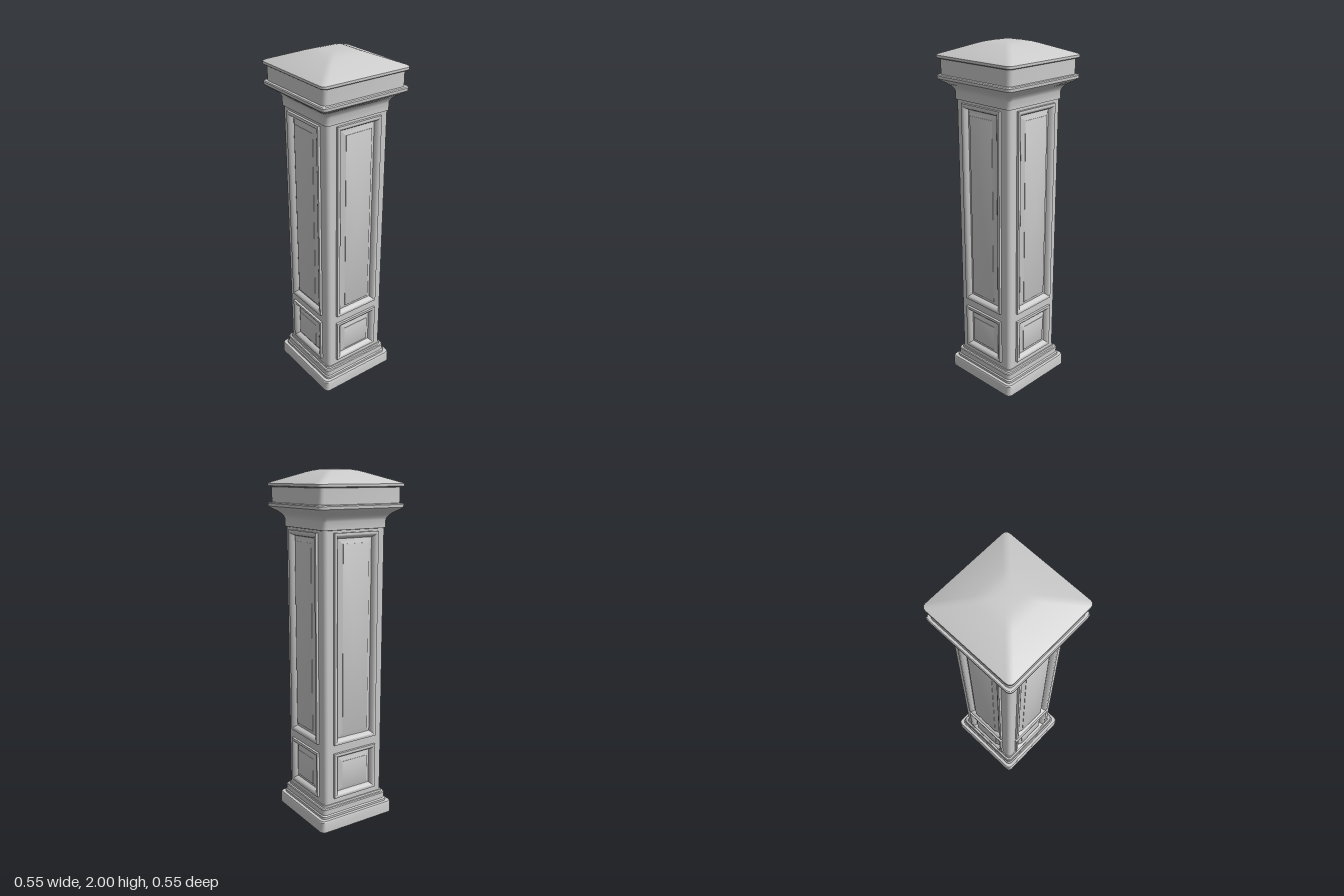
import * as THREE from 'three';
import { toCreasedNormals } from 'three/addons/utils/BufferGeometryUtils.js';

const material = new THREE.MeshStandardMaterial({ color: 0xcccccc, side: THREE.DoubleSide });
const HALF = 0.2, CORNER = 0.025, BOTTOM = 0.14, TOP = 1.69;

// Skin closed rings of points, each an array of [x, y, z]
function loft(rings, crease) {
  const n = rings[0].length, index = [];
  for (let i = 0; i < rings.length - 1; i++) {
    for (let j = 0; j < n; j++) {
      const a = i * n + j, b = i * n + (j + 1) % n;
      index.push(a, b, b + n, a, b + n, a + n);
    }
  }
  const g = new THREE.BufferGeometry();
  g.setAttribute('position', new THREE.Float32BufferAttribute(rings.flat(2), 3));
  g.setIndex(index);
  return toCreasedNormals(g, crease);
}

// Rounded square in plan
function squareRing(half, y, radius = CORNER) {
  const r = Math.min(radius, half), c = half - r, points = [];
  for (let q = 0; q < 4; q++) {
    const mid = Math.PI / 4 + q * Math.PI / 2;
    const cx = Math.sign(Math.cos(mid)) * c, cz = -Math.sign(Math.sin(mid)) * c;
    for (let s = 0; s <= 3; s++) {
      const a = (q + s / 3) * Math.PI / 2;
      points.push([cx + r * Math.cos(a), y, cz - r * Math.sin(a)]);
    }
  }
  return points;
}

function add(parent, geometry, name) {
  const mesh = new THREE.Mesh(geometry, material);
  mesh.name = name;
  parent.add(mesh);
  return mesh;
}

// Moulded panel: rectangles stepping inward as [inset, z]
function panelGeometry({ half, y0, y1 }) {
  const steps = [[0, HALF], [0, 0.214], [0.012, 0.215], [0.02, 0.21], [0.027, 0.2],
    [0.031, 0.19], [0.034, 0.19], [0.058, 0.205], [0.058, 0.207]];
  const rings = steps.map(([d, z]) => [
    [-half + d, y0 + d, z], [half - d, y0 + d, z], [half - d, y1 - d, z], [-half + d, y1 - d, z]]);
  const my = (y0 + y1) / 2;
  rings.push(rings[0].map(() => [0, my, 0.207]));
  return loft(rings, 0.6);
}

export function createModel() {
  const pillar = new THREE.Group();
  pillar.name = 'pillar';

  // Stepped plinth, open underneath
  const base = [[0.247, 0], [0.247, 0.062], [0.243, 0.069], [0.226, 0.07], [0.226, 0.083],
    [0.22, 0.09], [0.22, 0.122], [0.216, 0.127], [0.207, 0.128], [0.205, 0.139], [HALF, BOTTOM]];
  add(pillar, loft(base.map(([h, y]) => squareRing(h, y)), 0.6), 'base');

  // Coved capital and shallow pyramid roof
  const capital = [[HALF, TOP], [0.207, 1.692], [0.207, 1.735], [0.212, 1.748], [0.222, 1.762],
    [0.238, 1.775], [0.258, 1.787], [0.274, 1.801], [0.275, 1.816], [0.271, 1.821],
    [0.259, 1.823], [0.259, 1.905], [0.271, 1.907], [0.275, 1.911], [0.275, 1.924]];
  add(pillar, loft(capital.map(([h, y]) => squareRing(h, y)), 0.6), 'capital');
  const roof = [[0.275, 1.924], [0.268, 1.929], [0.12, 1.985], [0.095, 1.993], [0.07, 1.998],
    [0.045, 2], [0, 2]];
  add(pillar, loft(roof.map(([h, y]) => squareRing(h, y)), 0.6), 'roof');

  // Flat face of the shaft with openings for both panels
  const panels = [
    { name: 'lowerPanel', half: 0.142, y0: 0.175, y1: 0.447 },
    { name: 'upperPanel', half: 0.142, y0: 0.5, y1: 1.677 },
  ];
  const w = HALF - CORNER;
  const rectangle = (C, half, y0, y1) => new C([
    new THREE.Vector2(-half, y0), new THREE.Vector2(half, y0),
    new THREE.Vector2(half, y1), new THREE.Vector2(-half, y1)]);
  const face = rectangle(THREE.Shape, w, BOTTOM, TOP);
  for (const p of panels) face.holes.push(rectangle(THREE.Path, p.half, p.y0, p.y1));
  const faceGeometry = new THREE.ShapeGeometry(face).translate(0, 0, HALF);

  // Quarter-round shaft corner
  const cornerGeometry = new THREE.CylinderGeometry(
    CORNER, CORNER, TOP - BOTTOM, 6, 1, true, 0, Math.PI / 2);
  cornerGeometry.translate(w, (TOP + BOTTOM) / 2, w);

  const panelGeometries = panels.map(panelGeometry);
  ['front', 'left', 'back', 'right'].forEach((name, i) => {
    const side = new THREE.Group();
    side.name = name + 'Side';
    side.rotation.y = i * Math.PI / 2;
    add(side, faceGeometry, 'shaftFace');
    add(side, cornerGeometry, 'shaftCorner');
    panels.forEach((p, k) => add(side, panelGeometries[k], p.name));
    pillar.add(side);
  });
  return pillar;
}
